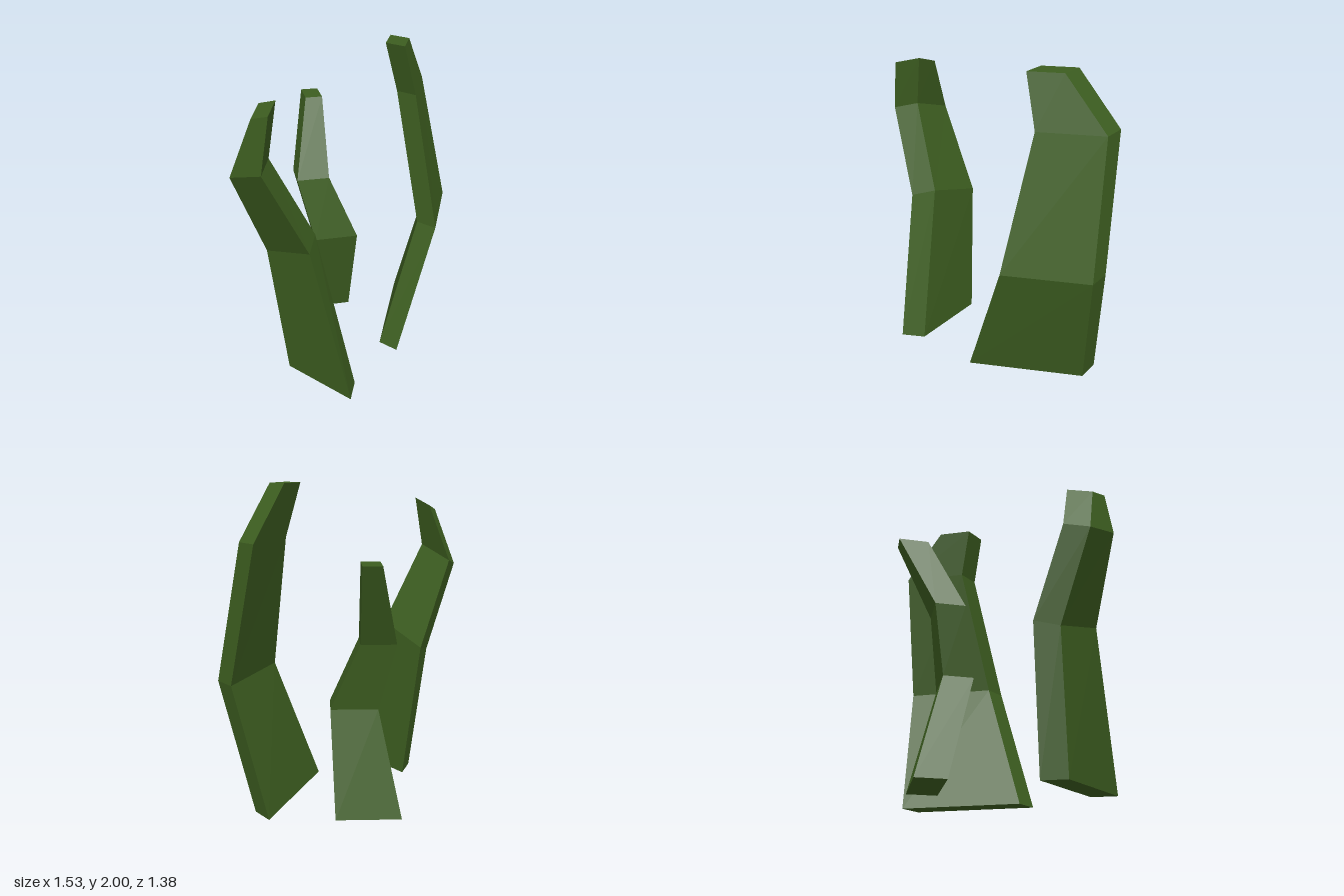
import * as THREE from 'three';

// Each section: left front corner, right front corner, rise of the back edge.
// The back corners are the front ones shifted by the blade's thickness [dx, dz].
const BLADES = [
  { name: 'tallBlade', thickness: [-0.09, -0.11], sections: [
    [[0.26, 0, 0.28], [0.56, 0, -0.41], 0],
    [[0.54, 0.84, 0.14], [0.765, 0.84, -0.36], 0],
    [[0.44, 1.68, -0.085], [0.6, 1.68, -0.455], 0],
    [[0.35, 2, -0.055], [0.435, 2, -0.25], 0],
  ] },
  { name: 'frontBlade', thickness: [0.06, -0.147], sections: [
    [[-0.475, 0, 0.285], [-0.152, 0, 0.687], 0],
    [[-0.575, 0.87, 0.24], [-0.36, 0.985, 0.538], 0.045],
    [[-0.77, 1.44, 0.385], [-0.615, 1.525, 0.595], 0.038],
    [[-0.64, 1.8, 0.465], [-0.56, 1.845, 0.575], 0.035],
  ] },
  { name: 'backBlade', thickness: [0, -0.185], sections: [
    [[-0.34, 0, -0.353], [0.065, 0, -0.353], 0],
    [[-0.2, 0.655, -0.195], [0.092, 0.655, -0.195], 0],
    [[-0.3, 1.08, -0.27], [-0.085, 1.08, -0.27], 0],
    [[-0.192, 1.575, -0.505], [-0.08, 1.575, -0.505], 0],
  ] },
];

// Closed four-sided loft through the sections, with flat facets
function bladeGeometry({ thickness: [dx, dz], sections }) {
  const rings = sections.map(([a, b, rise]) => {
    const back = ([x, y, z]) => [x + dx, y + rise, z + dz];
    return [a, b, back(b), back(a)];
  });
  const points = [];
  const quad = (a, b, c, d) => points.push(...a, ...b, ...c, ...a, ...c, ...d);

  for (let k = 0; k < rings.length - 1; k++) {
    for (let i = 0; i < 4; i++) {
      const j = (i + 1) % 4;
      quad(rings[k][i], rings[k][j], rings[k + 1][j], rings[k + 1][i]);
    }
  }
  // Bottom and tip caps
  const [p, q, r, s] = rings[0];
  quad(s, r, q, p);
  quad(...rings[rings.length - 1]);

  const geometry = new THREE.BufferGeometry();
  geometry.setAttribute('position', new THREE.Float32BufferAttribute(points, 3));
  geometry.computeVertexNormals();
  return geometry;
}

export function createModel() {
  const group = new THREE.Group();
  group.name = 'grassTuft';
  const green = new THREE.MeshStandardMaterial({ color: 0x3d5e20, flatShading: true });
  for (const blade of BLADES) {
    const mesh = new THREE.Mesh(bladeGeometry(blade), green);
    mesh.name = blade.name;
    group.add(mesh);
  }
  return group;
}
